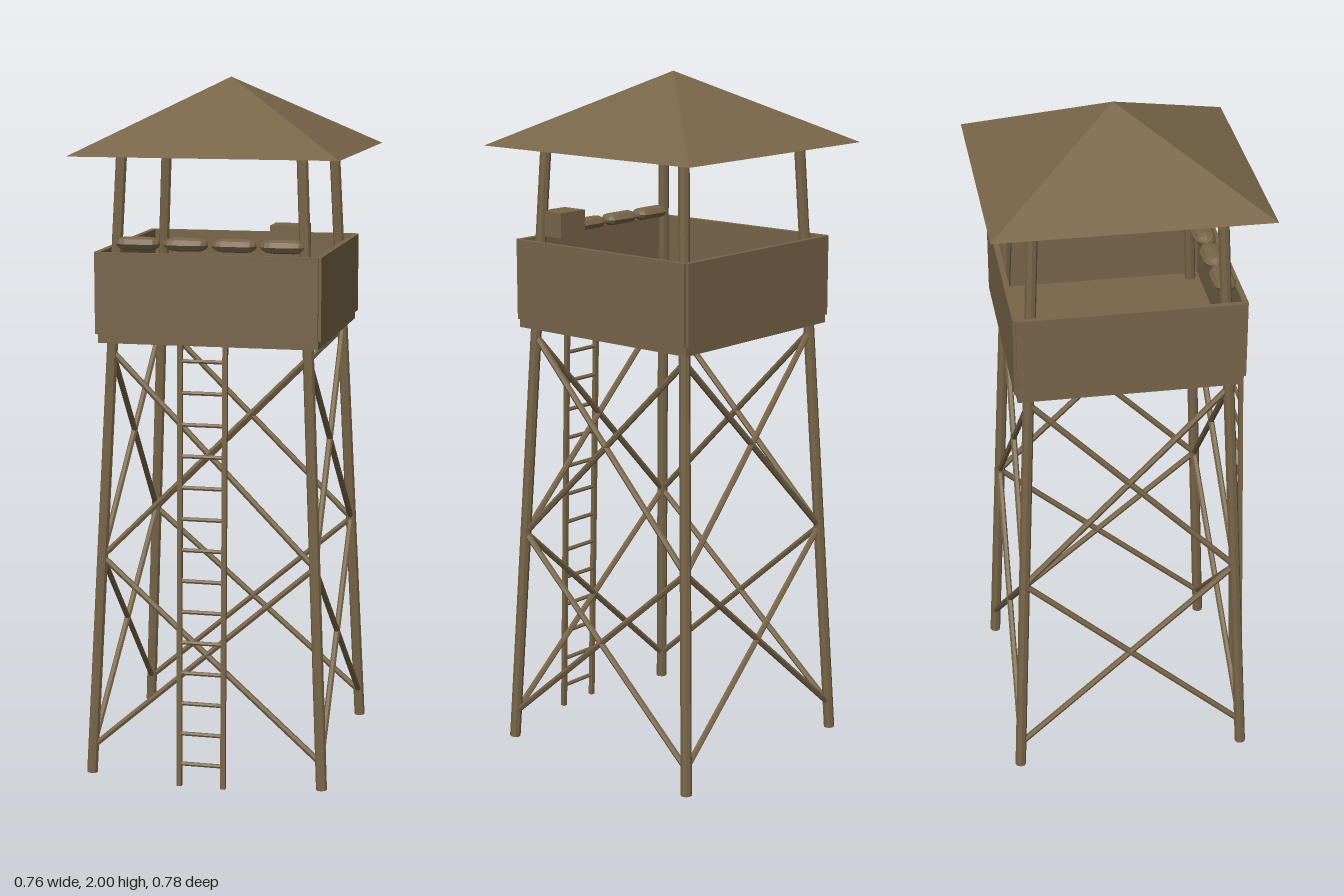
import * as THREE from 'three';

export function createModel() {
  const model = new THREE.Group();
  model.name = 'watchtower';
  const wood = new THREE.MeshStandardMaterial({ color: 0x786549, flatShading: true });
  wood.name = 'weathered wood';

  const tower = new THREE.Group();
  tower.name = 'tower';
  tower.position.z = -0.011;
  model.add(tower);

  const add = (name, geometry, x = 0, y = 0, z = 0, parent = tower) => {
    const mesh = new THREE.Mesh(geometry, wood);
    mesh.name = name;
    mesh.position.set(x, y, z);
    parent.add(mesh);
    return mesh;
  };

  // Round pole between two points
  const pole = (name, a, b, radius, sides, parent = tower) => {
    const dir = b.clone().sub(a);
    const mid = a.clone().add(b).multiplyScalar(0.5);
    const mesh = add(name, new THREE.CylinderGeometry(radius, radius, dir.length(), sides), mid.x, mid.y, mid.z, parent);
    mesh.quaternion.setFromUnitVectors(new THREE.Vector3(0, 1, 0), dir.normalize());
    return mesh;
  };
  const V = (x, y, z) => new THREE.Vector3(x, y, z);

  // Legs lean inwards and carry on up to the roof
  const spread = (y) => 0.34 - 0.0465 * y;
  for (const sx of [-1, 1]) for (const sz of [-1, 1]) {
    pole('leg', V(sx * spread(0.002), 0.002, sz * spread(0.002)),
      V(sx * spread(1.8), 1.8, sz * spread(1.8)), 0.016, 8);
  }

  // Two tiers of crossed braces on each of the four sides
  for (let side = 0; side < 4; side++) {
    const frame = new THREE.Group();
    frame.name = 'braceSide';
    frame.rotation.y = side * Math.PI / 2;
    tower.add(frame);
    for (const [low, high] of [[0.08, 0.645], [0.645, 1.24]]) {
      for (const s of [-1, 1]) {
        pole('brace', V(-s * spread(low), low, spread(low)),
          V(s * spread(high), high, spread(high)), 0.009, 6, frame);
      }
    }
  }

  // Platform and parapet
  add('floor', new THREE.BoxGeometry(0.63, 0.026, 0.63), 0, 1.28, 0);
  for (const s of [-1, 1]) {
    add('parapetPanel', new THREE.BoxGeometry(0.63, 0.232, 0.016), 0, 1.408, s * 0.315);
    add('parapetPanel', new THREE.BoxGeometry(0.016, 0.232, 0.63), s * 0.315, 1.408, 0);
  }

  // Pyramid roof
  const roof = new THREE.ConeGeometry(0.381 * Math.SQRT2, 0.207, 4);
  roof.rotateY(Math.PI / 4);
  add('roof', roof, 0, 1.8965, 0);

  // Sandbags along the front edge
  for (let i = 0; i < 4; i++) {
    const bag = new THREE.CapsuleGeometry(0.032, 0.064, 3, 8);
    bag.rotateZ(Math.PI / 2);
    bag.scale(1, 0.6, 1);
    add('sandbag', bag, -0.207 + i * 0.138, 1.546, 0.272);
  }

  // Small crate at the front corner
  add('crate', new THREE.BoxGeometry(0.1, 0.072, 0.08), 0.22, 1.569, 0.229);

  // Leaning ladder
  const ladder = new THREE.Group();
  ladder.name = 'ladder';
  model.add(ladder);
  const ladderZ = (y) => 0.386 - 0.027 * y;
  for (const s of [-1, 1]) {
    const rail = add('ladderRail', new THREE.BoxGeometry(0.014, 1.275, 0.013), s * 0.064, 0.64, ladderZ(0.64), ladder);
    rail.rotation.x = -0.027;
  }
  for (let i = 0; i < 14; i++) {
    const y = 0.069 + i * 0.0895;
    pole('ladderRung', V(-0.064, y, ladderZ(y)), V(0.064, y, ladderZ(y)), 0.006, 6, ladder);
  }

  return model;
}
